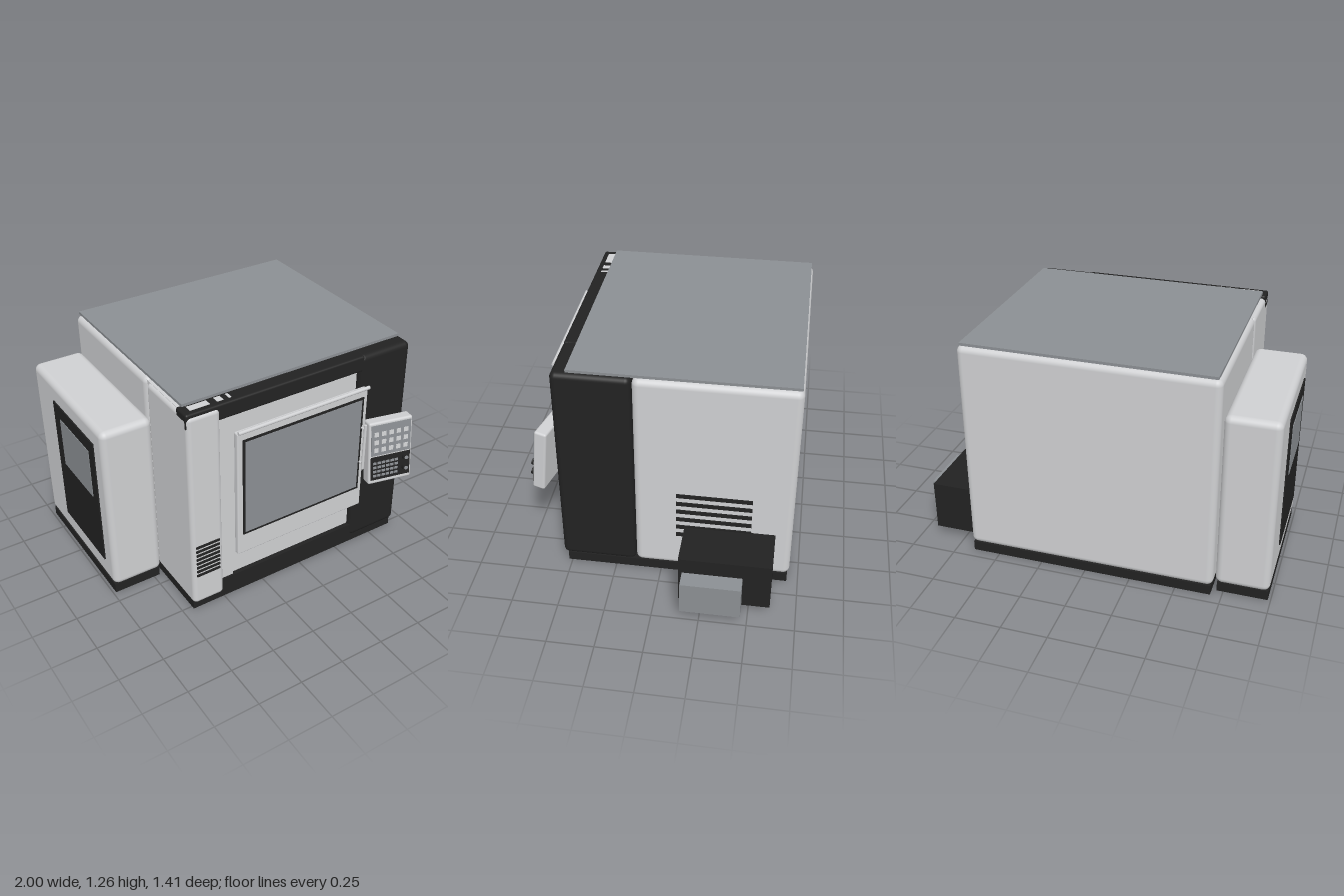
import * as THREE from 'three';
import { RoundedBoxGeometry } from 'three/addons/geometries/RoundedBoxGeometry.js';

function material(name, color) {
  const m = new THREE.MeshStandardMaterial({ color });
  m.name = name;
  return m;
}

export function createModel() {
  const light = material('light grey paint', 0xcfd0d2);
  const black = material('black paint', 0x222222);
  const grey = material('mid grey', 0x8b8f93);

  const model = new THREE.Group();
  model.name = 'machiningCentre';

  // Box given by its limits on each axis; r rounds the edges
  function box(name, mat, [x0, x1], [y0, y1], [z0, z1], r = 0, parent = model) {
    const w = x1 - x0, h = y1 - y0, d = z1 - z0;
    const geo = r ? new RoundedBoxGeometry(w, h, d, 4, r) : new THREE.BoxGeometry(w, h, d);
    const mesh = new THREE.Mesh(geo, mat);
    mesh.position.set((x0 + x1) / 2, (y0 + y1) / 2, (z0 + z1) / 2);
    mesh.name = name;
    parent.add(mesh);
    return mesh;
  }

  // Cylinder centred at a point, along the chosen axis
  function rod(name, mat, r, length, pos, axis, parent = model) {
    const geo = new THREE.CylinderGeometry(r, r, length, 20);
    if (axis === 'x') geo.rotateZ(Math.PI / 2);
    if (axis === 'z') geo.rotateX(Math.PI / 2);
    const mesh = new THREE.Mesh(geo, mat);
    mesh.position.set(...pos);
    mesh.name = name;
    parent.add(mesh);
  }

  // Plinths
  box('mainBase', black, [-0.69, 0.65], [0, 0.055], [-0.69, 0.52]);
  box('sideCabinetBase', black, [-0.985, -0.715], [0, 0.055], [-0.645, 0.18]);

  // Main housing
  box('rearHousing', light, [-0.70, 0.66], [0.055, 1.24], [-0.70, 0.137], 0.035);
  box('innerHousing', light, [-0.685, 0.345], [0.055, 1.225], [0.10, 0.45]);
  box('roofPlate', grey, [-0.68, 0.64], [1.243, 1.258], [-0.69, 0.465]);
  box('rightColumn', black, [0.335, 0.66], [0.055, 1.24], [0.14, 0.545], 0.03);
  box('leftPillar', light, [-0.70, -0.515], [0.055, 1.225], [0.14, 0.549], 0.025);

  // Front frame around the work area
  box('header', black, [-0.70, 0.36], [1.15, 1.24], [0.44, 0.54], 0.012);
  box('sill', black, [-0.53, 0.36], [0.055, 0.135], [0.40, 0.535]);
  box('frontPanel', light, [-0.53, 0.34], [0.13, 1.16], [0.40, 0.51]);
  box('frontStrip', light, [-0.515, -0.445], [0.135, 1.15], [0.50, 0.525]);
  for (const [a, b] of [[-0.66, -0.55], [-0.51, -0.475], [-0.445, -0.43]])
    box('headerInsert', light, [a, b], [1.236, 1.242], [0.47, 0.51]);

  // Sliding door with window, rail and handle
  const door = new THREE.Group();
  door.name = 'door';
  model.add(door);
  box('doorPanel', light, [-0.455, 0.347], [0.325, 1.08], [0.563, 0.597], 0.008, door);
  box('windowFrame', black, [-0.425, 0.32], [0.45, 1.037], [0.595, 0.602], 0, door);
  box('windowGlass', grey, [-0.412, 0.307], [0.464, 1.024], [0.60, 0.604], 0, door);
  rod('doorRail', light, 0.01, 0.80, [-0.054, 1.09, 0.606], 'x', door);
  rod('handleBar', light, 0.008, 0.28, [0.318, 0.74, 0.632], 'y', door);
  for (const y of [0.63, 0.85]) rod('handlePost', light, 0.006, 0.04, [0.318, y, 0.612], 'z', door);

  // Vent slots on the pillar and on the right side
  for (let i = 0; i < 8; i++) {
    const y = 0.25 + i * 0.0267;
    box('pillarVent', black, [-0.678, -0.54], [y - 0.006, y + 0.006], [0.547, 0.556]);
  }
  for (let i = 0; i < 6; i++) {
    const y = 0.28 + i * 0.053;
    box('sideVent', black, [0.658, 0.667], [y - 0.011, y + 0.011], [-0.485, -0.085]);
  }

  // Conveyor outlet on the right
  box('conveyorHousing', black, [0.655, 0.91], [0.055, 0.335], [-0.613, -0.13]);
  box('conveyorOutlet', grey, [0.905, 1.0], [0.055, 0.245], [-0.465, -0.15]);

  // Side cabinet with its access panel
  box('sideCabinet', light, [-0.99, -0.705], [0.055, 1.04], [-0.66, 0.195], 0.035);
  box('cabinetPanel', black, [-0.997, -0.989], [0.18, 0.935], [-0.40, 0.095]);
  box('cabinetWindow', grey, [-1.0, -0.995], [0.57, 0.86], [-0.32, 0.035]);

  // Tilted control panel on a short arm
  rod('panelArm', light, 0.013, 0.09, [0.50, 0.69, 0.565], 'z');
  const panel = new THREE.Group();
  panel.name = 'controlPanel';
  panel.position.set(0.50, 0.66, 0.617);
  panel.rotation.set(-0.11, -0.22, 0, 'YXZ');
  model.add(panel);
  box('panelBody', light, [-0.13, 0.13], [-0.188, 0.188], [-0.035, 0.035], 0.012, panel);
  box('screen', grey, [-0.118, 0.118], [-0.012, 0.172], [0.034, 0.039], 0, panel);
  box('keyboard', black, [-0.118, 0.118], [-0.162, -0.02], [0.034, 0.039], 0, panel);
  for (let row = 0; row < 3; row++)
    for (let col = 0; col < 5; col++) {
      const x = -0.088 + col * 0.044, y = 0.022 + row * 0.048;
      box('screenButton', light, [x - 0.013, x + 0.013], [y - 0.013, y + 0.013], [0.038, 0.042], 0, panel);
    }
  for (let row = 0; row < 4; row++)
    for (let col = 0; col < 6; col++) {
      const x = -0.095 + col * 0.026, y = -0.136 + row * 0.026;
      box('key', grey, [x - 0.01, x + 0.01], [y - 0.007, y + 0.007], [0.038, 0.042], 0, panel);
    }
  for (const y of [-0.05, -0.115]) {
    rod('knob', black, 0.019, 0.02, [0.088, y, 0.047], 'z', panel);
    rod('knobCap', grey, 0.011, 0.006, [0.088, y, 0.057], 'z', panel);
  }

  return model;
}
